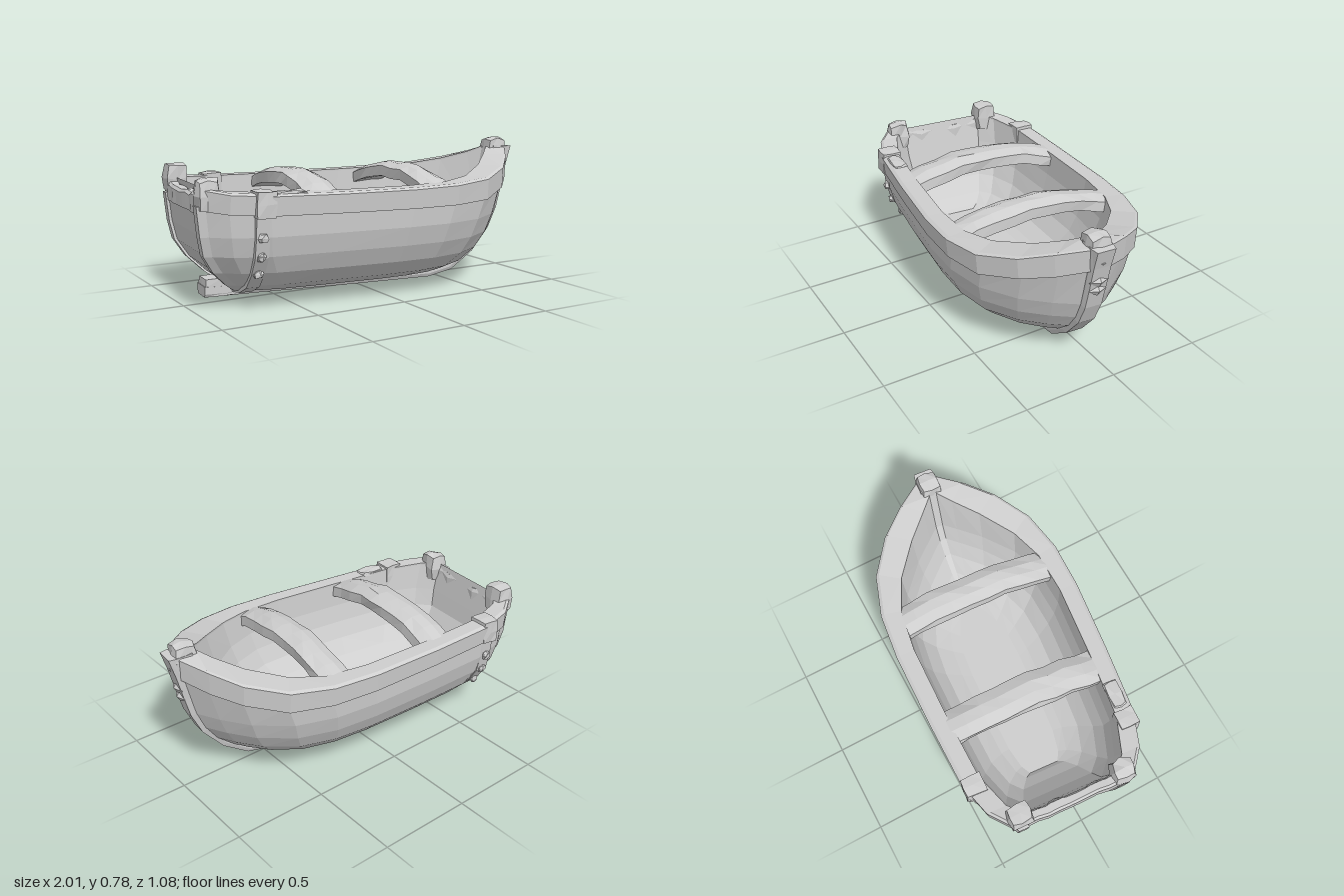
import * as THREE from 'three';

const wood = new THREE.MeshStandardMaterial({ color: 0xcecece, flatShading: true, side: THREE.DoubleSide });
wood.name = 'grey wood';

// Sheer stations: outer u, outer half width, inner u, inner half width, rim bottom y, rim top y
const SHEER = [
  [-0.97, 0.32, -0.93, 0.24, 0.52, 0.63], [-0.85, 0.415, -0.85, 0.32, 0.505, 0.61],
  [-0.66, 0.475, -0.66, 0.385, 0.495, 0.6], [-0.3, 0.5, -0.3, 0.41, 0.49, 0.595],
  [0.1, 0.518, 0.1, 0.425, 0.487, 0.595], [0.35, 0.507, 0.33, 0.405, 0.488, 0.6],
  [0.57, 0.448, 0.5, 0.335, 0.495, 0.615], [0.75, 0.32, 0.67, 0.2, 0.535, 0.655],
  [0.86, 0.185, 0.78, 0.085, 0.57, 0.7], [0.945, 0.05, 0.84, 0.02, 0.61, 0.735],
];
// Hull levels from the bottom up: y, width fraction, stern u, bow u
const LEVELS = [
  [0.055, 0.12, -0.72, 0.56], [0.075, 0.48, -0.74, 0.61], [0.12, 0.68, -0.8, 0.7],
  [0.2, 0.835, -0.88, 0.79], [0.29, 0.925, -0.935, 0.85], [0.39, 0.98, -0.955, 0.89],
  [0.5, 1, -0.97, 0.945],
];
const TOP = LEVELS.length - 1;
const lerp = THREE.MathUtils.lerp;
const remap = THREE.MathUtils.mapLinear;

// Repeatable bump that depends only on position
function bump(x, y, z, k) {
  const s = Math.sin(x * 127.1 + y * 311.7 + z * 74.7 + k * 53.3) * 43758.5;
  return s - Math.floor(s) - 0.5;
}

// Surface through rows of points; a closed ring also gets end caps
function loft(rows, closed = false, inward = false) {
  const tris = [];
  const n = rows[0].length;
  for (let i = 0; i < rows.length - 1; i++) {
    for (let j = 0; j < (closed ? n : n - 1); j++) {
      const k = (j + 1) % n;
      const [a, b, c, d] = [rows[i][j], rows[i][k], rows[i + 1][k], rows[i + 1][j]];
      tris.push([a, b, c], [a, c, d]);
    }
  }
  if (closed) {
    const first = rows[0], last = rows[rows.length - 1];
    for (let j = 1; j < n - 1; j++) {
      tris.push([first[0], first[j + 1], first[j]], [last[0], last[j], last[j + 1]]);
    }
  }
  // Turn all corners the right way round
  const v = (p) => new THREE.Vector3(...p);
  const mid = rows.flat().reduce((m, p) => m.add(v(p)), new THREE.Vector3()).divideScalar(rows.length * n);
  let volume = 0;
  for (const [a, b, c] of tris) {
    volume += v(a).sub(mid).dot(v(b).sub(mid).cross(v(c).sub(mid)));
  }
  if ((volume < 0) !== inward) tris.forEach((t) => t.reverse());
  const g = new THREE.BufferGeometry();
  g.setAttribute('position', new THREE.Float32BufferAttribute(tris.flat(2), 3));
  g.computeVertexNormals();
  return g;
}

// Point on the hull side for a station and level
function skin(st, k, inner) {
  const [u, w, ui, wi, yb, yt] = st;
  const [y, f, stern, bow] = LEVELS[k];
  if (inner) {
    if (k === TOP) return [ui, yt - 0.01, wi];
    return [remap(ui, -0.93, 0.84, stern + 0.06, bow - 0.1), y + 0.065, wi * Math.max(f, 0.35)];
  }
  if (k === TOP) return [u, yb + 0.02, w - 0.018];
  return [remap(u, -0.97, 0.945, stern, bow), y, (w - 0.015) * f];
}

// Hull half width at a given u and level
function widthAt(u, k) {
  const pts = SHEER.map((st) => skin(st, k, false));
  for (let i = 0; i < pts.length - 1; i++) {
    const [a, b] = [pts[i], pts[i + 1]];
    if (u <= b[0]) return lerp(a[2], b[2], Math.max(0, (u - a[0]) / (b[0] - a[0])));
  }
  return 0;
}

export function createModel() {
  const boat = new THREE.Group();
  boat.name = 'rowingBoat';
  const add = (name, geometry) => {
    const mesh = new THREE.Mesh(geometry, wood);
    mesh.name = name;
    boat.add(mesh);
    return mesh;
  };
  const mirror = (p) => [p[0], p[1], -p[2]];

  // Rough hewn block with chipped corners
  const block = (name, size, pos, chip = 0.85, rough = 0.01) => {
    const g = new THREE.BoxGeometry(...size, 2, 2, 2);
    const p = g.attributes.position;
    for (let i = 0; i < p.count; i++) {
      const q = [p.getX(i), p.getY(i), p.getZ(i)];
      const edges = q.filter((c) => Math.abs(c) > 1e-4).length;
      const s = edges === 3 ? chip : edges === 2 ? (1 + chip) / 2 : 1;
      p.setXYZ(i, ...q.map((c, k) => c * s + bump(q[0] + pos[0], q[1], q[2] + pos[2], k) * rough));
    }
    g.computeVertexNormals();
    add(name, g).position.set(...pos);
  };

  // Outer and inner shell with their end panels
  for (const inner of [false, true]) {
    const label = inner ? 'inner' : 'outer';
    const side = (st) => LEVELS.map((_, k) => skin(st, k, inner));
    add(label + 'Hull', loft(SHEER.map((st) => {
      const s = side(st);
      return [...s.map(mirror).reverse(), ...s];
    }), false, inner));
    [SHEER[0], SHEER[SHEER.length - 1]].forEach((st, e) => {
      add(label + (e ? 'BowPanel' : 'Transom'), loft(side(st).map((p) => [mirror(p), p])));
    });
  }

  for (const m of [1, -1]) {
    // Gunwale
    add('gunwale', loft(SHEER.map(([u, w, ui, wi, yb, yt]) => [
      [u, yb, m * w], [u, yt - 0.01, m * (w + 0.008)], [u, yt, m * (w - 0.01)],
      [ui, yt, m * wi], [ui, yb + 0.02, m * wi],
    ]), true));

    // Hoop around the hull near the stern
    const u = -0.7;
    add('sternHoop', loft(LEVELS.map(([y], k) => {
      const w = widthAt(u, k), drop = 0.01 * (1 - y / 0.5), out = w + 0.012 + bump(y, k, m, 1) * 0.01;
      return [[u - 0.035, y - drop, m * out], [u + 0.035, y - drop, m * out],
        [u + 0.035, y + 0.02, m * (w - 0.03)], [u - 0.035, y + 0.02, m * (w - 0.03)]];
    }), true));

    // Ribs down the edges of the transom
    add('transomRib', loft(LEVELS.map((_, k) => {
      const [x, y, w] = skin(SHEER[0], k, false);
      const a = w + 0.006, b = Math.max(0.01, w - 0.05);
      return [[x - 0.015, y, m * a], [x + 0.04, y, m * (a + 0.02)], [x + 0.04, y, m * b], [x - 0.015, y, m * b]];
    }), true));

    // Corner posts and gunwale clamps
    block('sternPost', [0.115, 0.17, 0.125], [-0.925, m > 0 ? 0.592 : 0.612, m * 0.285], 0.78, 0.015);
    block('gunwaleClamp', [0.1, 0.13, 0.11], [-0.69, 0.551, m * 0.428], 0.95);
    for (let i = 0; i < 3; i++) {
      block('hoopStud', [0.05, 0.05, 0.04], [u, 0.2 + i * 0.095, m * (widthAt(u, 3 + i) + 0.012)], 0.6);
    }
  }
  block('gunwalePatch', [0.15, 0.024, 0.08], [-0.55, 0.598, 0.432]);

  // Ragged top of the transom
  add('transomCap', loft(Array.from({ length: 10 }, (_, i) => {
    const z = -0.25 + i * 0.5 / 9;
    const y = 0.585 + 0.35 * z * z + bump(i, 0, 0, 1) * 0.022;
    const a = -0.975 + bump(i, 0, 0, 2) * 0.012, b = -0.915 + bump(i, 0, 0, 3) * 0.016;
    return [[a, 0.5, z], [a, y - 0.015, z], [a + 0.012, y, z], [b - 0.01, y, z], [b, y - 0.02, z], [b, 0.5, z]];
  }), true));

  // Arched benches
  for (const [u, width, length, name] of [[-0.36, 0.18, 0.86, 'rearBench'], [0.28, 0.165, 0.89, 'frontBench']]) {
    const g = new THREE.BoxGeometry(width, 0.08, length, 3, 1, 9);
    const p = g.attributes.position;
    for (let i = 0; i < p.count; i++) {
      const [x, y, z] = [p.getX(i), p.getY(i), p.getZ(i)];
      const arch = 0.628 - 0.4 * z * z;
      const round = y > 0 && Math.abs(x) > width * 0.4 ? 0.022 : 0;
      p.setXYZ(i, x + bump(z, y, u, 1) * 0.014, arch + y - round + bump(x, z, u, 2) * 0.012, z);
    }
    g.computeVertexNormals();
    add(name, g).position.x = u;
  }

  // Keel and stem: outer u, y, then inner u, y, and half width
  const keel = [
    [-0.88, 0.03, -0.88, 0.085, 0.065], [-0.6, 0.025, -0.6, 0.075, 0.06], [0, 0.012, 0, 0.07, 0.06],
    [0.45, 0.006, 0.44, 0.07, 0.06], [0.6, 0.035, 0.55, 0.09, 0.058], [0.74, 0.13, 0.68, 0.18, 0.056],
    [0.85, 0.26, 0.78, 0.3, 0.054], [0.905, 0.38, 0.83, 0.41, 0.054], [0.935, 0.5, 0.86, 0.53, 0.054],
    [0.965, 0.63, 0.88, 0.65, 0.055], [0.995, 0.735, 0.87, 0.74, 0.057],
  ];
  add('keelAndStem', loft(keel.map(([u, y, ui, yi, w]) => [
    [u, y, -w * 0.85], [u, y, w * 0.85], [lerp(u, ui, 0.3), lerp(y, yi, 0.3), w],
    [ui, yi, w], [ui, yi, -w], [lerp(u, ui, 0.3), lerp(y, yi, 0.3), -w],
  ]), true));
  block('keelBlock', [0.19, 0.095, 0.13], [-0.785, 0.078, 0], 0.93, 0.006);
  block('stemHead', [0.125, 0.16, 0.125], [0.9, 0.71, 0], 0.75);

  // Studs on the stem
  for (const [u, y, r] of [[0.965, 0.655, 0.025], [0.942, 0.545, 0.045], [0.932, 0.49, 0.042]]) {
    const stud = add('stemStud', new THREE.OctahedronGeometry(r));
    stud.position.set(u, y, 0);
    stud.scale.set(0.5, 0.8, 1.2);
  }

  // The whole boat lies slightly turned
  boat.rotation.y = -0.08;
  const root = new THREE.Group();
  root.name = 'boat';
  root.add(boat);
  return root;
}
